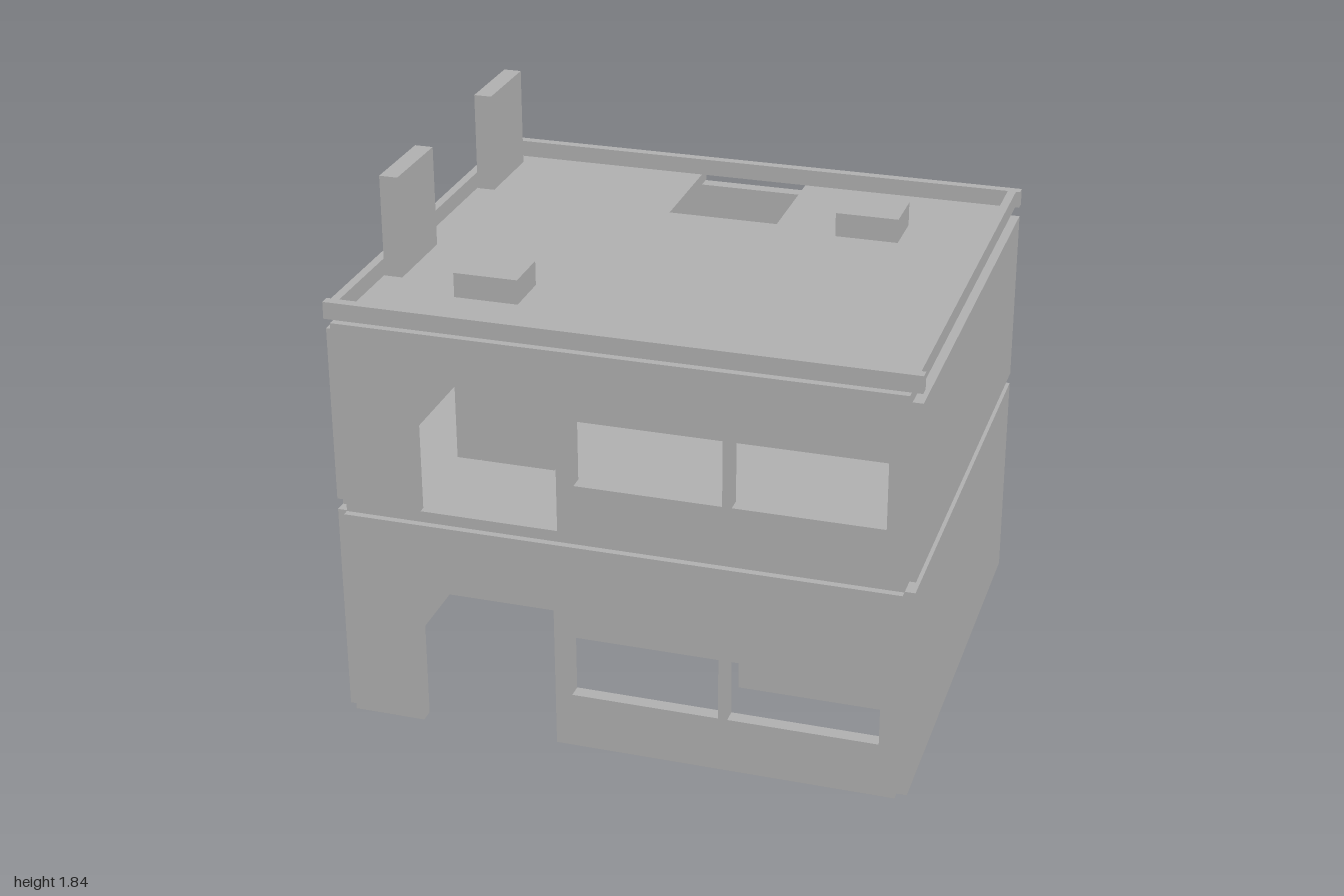
import * as THREE from 'three';

const concrete = new THREE.MeshStandardMaterial({ color: 0xb0b0b0 });
concrete.name = 'concrete grey';

function add(parent, name, geometry) {
  const mesh = new THREE.Mesh(geometry, concrete);
  mesh.name = name;
  parent.add(mesh);
  return mesh;
}

// Box given by its extents on each axis
function box(parent, name, [x0, x1], [y0, y1], [z0, z1]) {
  const mesh = add(parent, name, new THREE.BoxGeometry(x1 - x0, y1 - y0, z1 - z0));
  mesh.position.set((x0 + x1) / 2, (y0 + y1) / 2, (z0 + z1) / 2);
  return mesh;
}

function polygon(points, Type = THREE.Shape) {
  return new Type(points.map(([x, y]) => new THREE.Vector2(x, y)));
}

function extrude(shape, depth) {
  return new THREE.ExtrudeGeometry(shape, { depth, bevelEnabled: false });
}

// Long wall with a doorway open at the bottom and two windows
function openWall(s) {
  const W = 0.965, [d0, d1] = s.door;
  const shape = polygon([
    [-W, s.y0], [d0, s.y0], [d0, s.doorTop], [d1, s.doorTop], [d1, s.y0],
    [W, s.y0], [W, s.y1], [-W, s.y1],
  ]);
  const [b, t] = s.sill;
  for (const [l, r] of s.windows) {
    shape.holes.push(polygon([[l, b], [l, t], [r, t], [r, b]], THREE.Path));
  }
  return extrude(shape, 0.05).translate(0, 0, 0.81);
}

// Horizontal slab with a stairwell notch in its back edge
function slab(parent, name, y0, y1, zMax, n) {
  const W = 0.965;
  const shape = polygon([
    [-W, -zMax], [W, -zMax], [W, zMax], [n, zMax],
    [n, 0.4], [-n, 0.4], [-n, zMax], [-W, zMax],
  ]);
  const geometry = extrude(shape, y1 - y0).rotateX(-Math.PI / 2).translate(0, y0, 0);
  add(parent, name, geometry);
}

const storeys = [
  {
    name: 'groundFloor', y0: 0, y1: 0.77, door: [-0.71, -0.22], doorTop: 0.52,
    sill: [0.2, 0.427], windows: [[-0.16, 0.355], [0.387, 0.905]],
    lockers: { x: -0.685, z: [-0.36, -0.27] },
    counter: { x: [0.28, 0.85], z: [0.2, 0.34], h: 0.14 },
  },
  {
    name: 'upperFloor', y0: 0.81, y1: 1.44, door: [-0.695, -0.2], doorTop: 1.325,
    sill: [1.0, 1.235], windows: [[-0.14, 0.365], [0.397, 0.905]],
    lockers: { x: -0.725, z: [0.32, 0.42] },
    counter: { x: [0.37, 0.85], z: [-0.35, -0.21], h: 0.15 },
  },
];

export function createModel() {
  const model = new THREE.Group();
  model.name = 'building';

  for (const s of storeys) {
    const floor = new THREE.Group();
    floor.name = s.name;
    model.add(floor);

    // The back wall is the front wall turned half round
    const wall = openWall(s);
    add(floor, 'frontWall', wall);
    add(floor, 'backWall', wall).rotation.y = Math.PI;
    for (const side of [-1, 1]) {
      const x = side < 0 ? [-1, -0.95] : [0.95, 1];
      box(floor, side < 0 ? 'rightWall' : 'leftWall', x, [s.y0, s.y1], [-0.83, 0.83]);
    }

    // Pier between the back doorway and window, slightly proud
    box(floor, 'backPier', [-s.windows[0][0], -s.door[1]], s.sill, [-0.863, -0.813]);

    // Row of four lockers and a low counter
    for (let i = 0; i < 4; i++) {
      const x = s.lockers.x + i * 0.0905;
      box(floor, 'locker', [x, x + 0.088], [s.y0, s.y0 + 0.33], s.lockers.z);
    }
    box(floor, 'counter', s.counter.x, [s.y0, s.y0 + s.counter.h], s.counter.z);
  }

  slab(model, 'upperFloorSlab', 0.77, 0.81, 0.835, 0.19);
  slab(model, 'roofSlab', 1.44, 1.48, 0.872, 0.2);

  // Parapet
  box(model, 'frontParapet', [-1, 1], [1.48, 1.54], [0.81, 0.845]);
  box(model, 'backParapet', [-1, 1], [1.48, 1.54], [-0.845, -0.81]);
  box(model, 'rightParapet', [-0.985, -0.955], [1.48, 1.54], [-0.82, 0.82]);
  box(model, 'leftParapet', [0.955, 0.985], [1.48, 1.54], [-0.82, 0.82]);

  // Chimneys and roof vents
  box(model, 'frontChimney', [-0.953, -0.888], [1.48, 1.84], [0.13, 0.445]);
  box(model, 'backChimney', [-0.953, -0.888], [1.48, 1.84], [-0.745, -0.433]);
  box(model, 'frontRoofVent', [-0.657, -0.432], [1.48, 1.567], [0.375, 0.552]);
  box(model, 'backRoofVent', [0.428, 0.653], [1.48, 1.567], [-0.525, -0.348]);

  return model;
}
